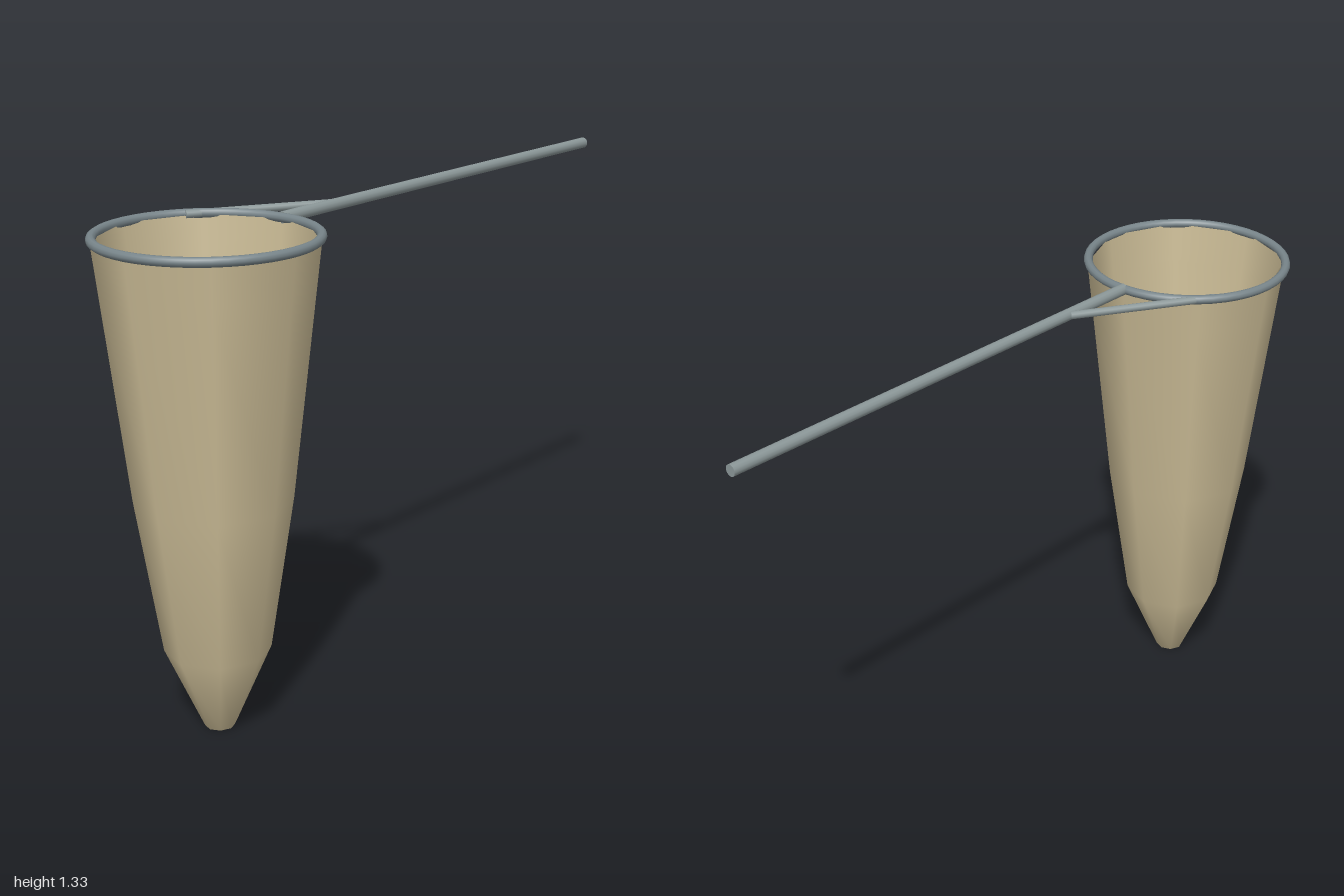
import * as THREE from 'three';

const RIM_X = -0.705, RIM_Y = 1.313, RIM_R = 0.282;

function mat(name, color, side = THREE.FrontSide) {
  const m = new THREE.MeshStandardMaterial({ color, side });
  m.name = name;
  return m;
}

// Round rod between two points
function rod(name, a, b, radius, material) {
  const dir = b.clone().sub(a);
  const mesh = new THREE.Mesh(new THREE.CylinderGeometry(radius, radius, dir.length(), 12), material);
  mesh.position.copy(a).add(b).multiplyScalar(0.5);
  mesh.quaternion.setFromUnitVectors(new THREE.Vector3(0, 1, 0), dir.normalize());
  mesh.name = name;
  return mesh;
}

export function createModel() {
  const group = new THREE.Group();
  group.name = 'handNet';
  const cloth = mat('cloth', 0xcbbc96, THREE.DoubleSide);
  const rimMetal = mat('rimMetal', 0x78858a);
  const metal = mat('handleMetal', 0x8b9798);

  // Eight-sided tapering bag with a closed tip
  const profile = [[0, 0], [0.04, 0], [0.14, 0.22], [0.205, 0.63], [0.272, 1.2], [0.285, 1.31]]
    .map(([r, y]) => new THREE.Vector2(r, y));
  const bag = new THREE.Mesh(new THREE.LatheGeometry(profile, 8), cloth);
  bag.position.x = RIM_X;
  bag.name = 'bag';
  group.add(bag);

  // Hoop holding the mouth open
  const rim = new THREE.Mesh(new THREE.TorusGeometry(RIM_R, 0.0127, 10, 48), rimMetal);
  rim.rotation.x = Math.PI / 2;
  rim.position.set(RIM_X, RIM_Y, 0);
  rim.name = 'rim';
  group.add(rim);

  // Long handle and its diagonal brace
  const at = (x, z) => new THREE.Vector3(x, RIM_Y, z);
  group.add(rod('handle', at(RIM_X + RIM_R, 0), at(1, 0), 0.016, metal));
  group.add(rod('brace', at(-0.545, -0.222), at(-0.19, -0.008), 0.011, metal));
  return group;
}
